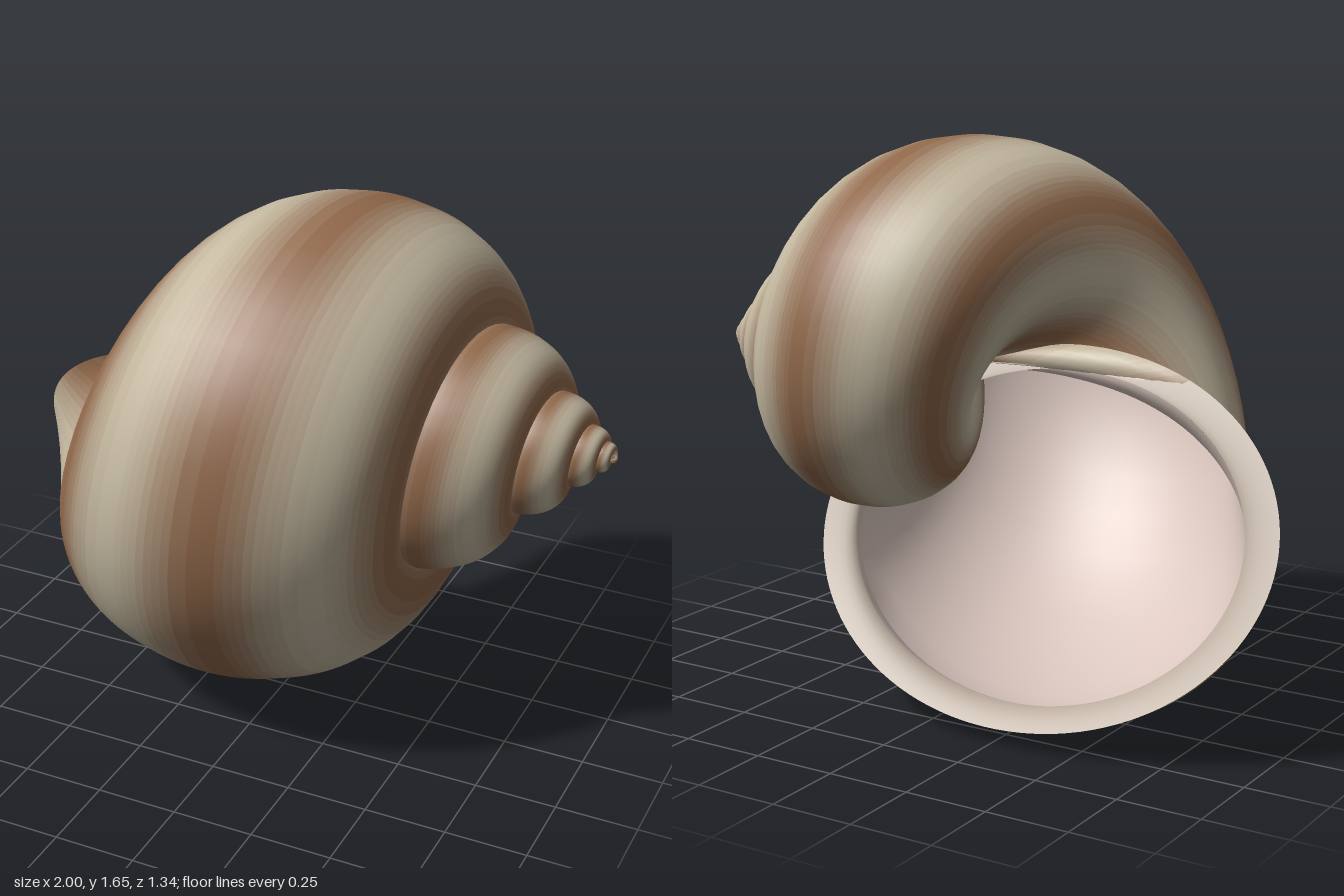
import * as THREE from 'three';

const SIDES = 120, PER_TURN = 40, TURNS = 5, LEVELS = 13;
const APEX = { x: 1.02, y: 0.99, z: -0.11 };
const MOUTH_ANGLE = THREE.MathUtils.degToRad(-62);

// One elliptical section of the coiled tube: t in turns before the mouth (0), k scales the ellipse.
function section(t, k) {
  const grow = 2 ** t;
  const late = Math.max(0, 1 + t / 0.2);
  const tube = k * grow * (1 + 0.15 * late ** 0.9); // the tube widens just before the mouth
  const angle = MOUTH_ANGLE + t * Math.PI * 2;
  const ring = [];
  for (let j = 0; j < SIDES; j++) {
    const phi = ((j + 0.5) / SIDES) * Math.PI * 2;
    const r = 0.487 * grow + 0.495 * tube * Math.cos(phi);
    ring.push(
      APEX.x - 1.28 * grow + 0.645 * tube * Math.sin(phi),
      APEX.y + r * Math.sin(angle),
      APEX.z - r * Math.cos(angle));
  }
  return ring;
}

// Skin a list of sections; pick(j) chooses which index list a column belongs to.
function skin(sections, lists = 1, pick = () => 0) {
  const all = [], out = Array.from({ length: lists }, () => []);
  for (let i = 0; i < sections.length - 1; i++) {
    for (let j = 0; j < SIDES; j++) {
      const n = (j + 1) % SIDES;
      const a = i * SIDES + j, b = a + SIDES, c = i * SIDES + n, d = c + SIDES;
      const quad = [a, b, c, b, d, c];
      all.push(...quad);
      out[pick(j)].push(...quad);
    }
  }
  const base = new THREE.BufferGeometry();
  base.setAttribute('position', new THREE.Float32BufferAttribute(sections.flat(), 3));
  base.setIndex(all);
  base.computeVertexNormals();
  // Bands share positions and normals, so shading stays smooth across them.
  return out.map((index) => {
    const g = new THREE.BufferGeometry();
    g.setAttribute('position', base.attributes.position);
    g.setAttribute('normal', base.attributes.normal);
    g.setIndex(index);
    return g;
  });
}

function addMesh(parent, name, geometry, color) {
  const mesh = new THREE.Mesh(geometry,
    new THREE.MeshStandardMaterial({ color, side: THREE.DoubleSide }));
  mesh.name = name;
  parent.add(mesh);
}

// Lip section sloping into the mouth: u runs from 0 (outer edge) to 1 (inner edge)
const lipSection = (u) => section(-0.01 * u * u, 0.935 + 0.065 * Math.cos(u * Math.PI));

export function createModel() {
  const group = new THREE.Group();
  group.name = 'seaSnailShell';

  // Outer wall: rounded tip, then the coiled whorls out to the edge of the mouth
  const outer = [];
  for (let q = 0; q < 5; q++) {
    const a = (q / 5) * Math.PI / 2;
    outer.push(section(-TURNS - 0.08 * Math.cos(a), Math.max(0.01, Math.sin(a))));
  }
  for (let i = 0; i <= TURNS * PER_TURN; i++) outer.push(section(i / PER_TURN - TURNS, 1));

  // Five brown spiral stripes fading into tan
  const tan = new THREE.Color(0xc4b9a1), brown = new THREE.Color(0x90684a);
  const level = (j) => {
    const phi = ((j + 1) / SIDES) * Math.PI * 2 - THREE.MathUtils.degToRad(8);
    return Math.round((0.5 + 0.5 * Math.cos(5 * phi)) * (LEVELS - 1));
  };
  const whorls = new THREE.Group();
  whorls.name = 'whorls';
  skin(outer, LEVELS, level).forEach((geometry, i) => {
    addMesh(whorls, 'spiralBand' + (i + 1), geometry, tan.clone().lerp(brown, i / (LEVELS - 1)));
  });
  group.add(whorls);

  // Thick lip around the mouth
  const lip = [];
  for (let q = 0; q <= 8; q++) lip.push(lipSection(q / 8));
  addMesh(group, 'lip', skin(lip)[0], 0xbcaea0);

  // Pale lining inside the last whorl, running inward from the lip
  const lining = [lipSection(1), section(-0.018, 0.88)];
  for (let i = 1; i <= PER_TURN; i++) lining.push(section(-i / PER_TURN, 0.93));
  addMesh(group, 'innerLining', skin(lining)[0], 0xdcc8c0);

  return group;
}
